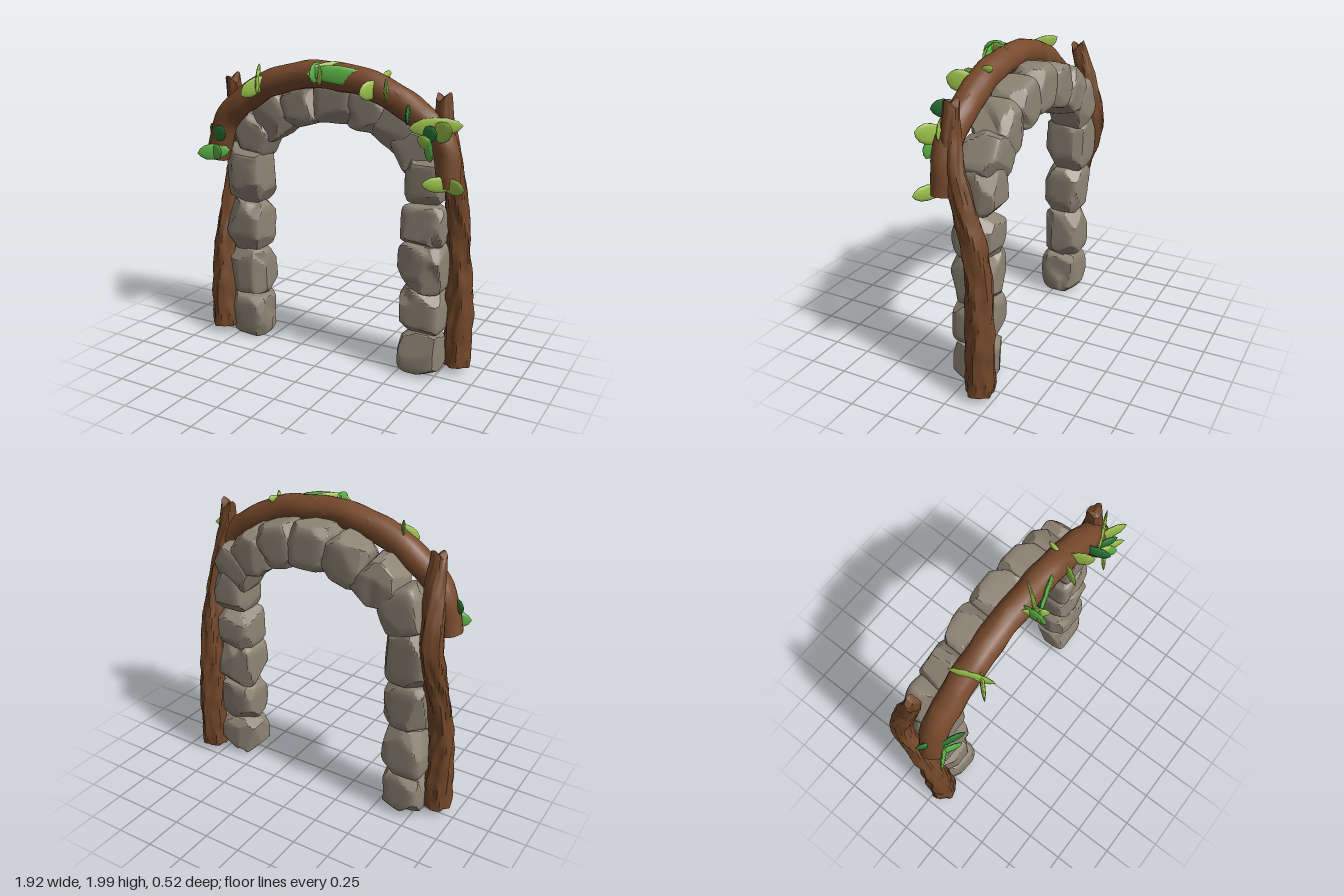
import * as THREE from 'three';
import { toCreasedNormals } from 'three/addons/utils/BufferGeometryUtils.js';

const material = (name, color) => {
  const m = new THREE.MeshStandardMaterial({ color });
  m.name = name;
  return m;
};

function seeded(seed) {
  let s = seed;
  return () => (s = (s * 16807) % 2147483647) / 2147483647;
}

// Rounded block, chipped by random planes and sloping ledges
function stoneGeometry(w, h, d, rand) {
  const geo = new THREE.BoxGeometry(2, 2, 2, 14, 14, 14);
  const dir = () => new THREE.Vector3(rand() * 2 - 1, rand() * 2 - 1, rand() * 2 - 1).normalize();
  const reach = n => Math.pow([n.x, n.y, n.z].reduce((s, c) => s + Math.abs(c) ** 1.2, 0), 1 / 1.2);
  const cuts = [];
  for (let i = 0; i < 22; i++) {
    const n = dir();
    const ledge = i > 11;
    cuts.push({ n, d: reach(n) * (ledge ? 0.72 + rand() * 0.1 : 0.81 + rand() * 0.12),
      side: ledge ? dir() : null, from: rand() * 0.4 });
  }
  const pos = geo.attributes.position, p = new THREE.Vector3();
  for (let i = 0; i < pos.count; i++) {
    p.fromBufferAttribute(pos, i);
    p.divideScalar(Math.pow(p.x ** 6 + p.y ** 6 + p.z ** 6, 1 / 6));
    for (const c of cuts) {
      const over = p.dot(c.n) - c.d;
      const depth = c.side ? THREE.MathUtils.clamp((p.dot(c.side) - c.from) / 0.3, 0, 1) : 1;
      if (over > 0) p.addScaledVector(c.n, -over * depth);
    }
    pos.setXYZ(i, p.x * w * 0.52, p.y * h * 0.52, p.z * d * 0.52);
  }
  return toCreasedNormals(geo, 0.3);
}

// Closed round log along a path; stations are [x, y, z, radius]
function logGeometry(stations, { steps, sides, ridge, lump, ragged = 0 }) {
  const curve = new THREE.CatmullRomCurve3(stations.map(s => new THREE.Vector3(s[0], s[1], s[2])));
  const geo = new THREE.TubeGeometry(curve, steps, 1, sides);
  const pos = geo.attributes.position, p = new THREE.Vector3();
  const last = stations.length - 1;
  for (let i = 0; i <= steps; i++) {
    const end = i === 0 || i === steps;
    const ring = curve.getPointAt(i / steps);
    const u = Math.min(Math.max(i, 1), steps - 1) / steps;
    const centre = curve.getPointAt(u);
    const k = curve.getUtoTmapping(u) * last, a = Math.min(Math.floor(k), last - 1);
    const radius = THREE.MathUtils.lerp(stations[a][3], stations[a + 1][3], k - a);
    for (let j = 0; j <= sides; j++) {
      const q = (j % sides) / sides * Math.PI * 2;
      const bark = 1 + ridge * (Math.sin(5 * q + 3 * Math.sin(u * 7)) + 0.7 * Math.sin(9 * q - 5 * Math.sin(u * 11)))
        + lump * (Math.sin(u * 41 + q) + Math.sin(u * 67 - 2 * q));
      const id = i * (sides + 1) + j;
      p.fromBufferAttribute(pos, id).sub(ring).multiplyScalar(end ? 0 : radius * bark).add(centre);
      if (i === steps - 1) p.y += ragged * Math.sin(2 * q + 1);
      pos.setXYZ(id, p.x, p.y, p.z);
    }
  }
  return toCreasedNormals(geo, 0.6);
}

export function createModel() {
  const model = new THREE.Group();
  model.name = 'stoneArch';
  const stone = material('stone grey', 0x8e8475);
  const bark = material('bark brown', 0x724729);
  const vineBrown = material('vine brown', 0x774a2c);
  const dark = material('dark leaf green', 0x2a7a36);
  const mid = material('leaf green', 0x5cb546);
  const light = material('light leaf green', 0x9cc24b);

  const add = (parent, name, geo, mat) => {
    const mesh = new THREE.Mesh(geo, mat);
    mesh.name = name;
    parent.add(mesh);
    return mesh;
  };
  const group = name => {
    const g = new THREE.Group();
    g.name = name;
    model.add(g);
    return g;
  };

  const rand = seeded(4711);
  const placeStone = (parent, name, x, y, z, w, h, d, turn) => {
    const mesh = add(parent, name, stoneGeometry(w, h, d, rand), stone);
    mesh.position.set(x, y, z);
    mesh.rotation.set((rand() - 0.5) * 0.08, (rand() - 0.5) * 0.1, turn);
  };

  // Pillars: [centre x, width, bottom y, top y, centre z, depth]
  const pillars = {
    rightPillar: [[-0.665, 0.28, 0.005, 0.305, -0.045, 0.25], [-0.675, 0.28, 0.3, 0.64, -0.05, 0.25],
      [-0.68, 0.28, 0.635, 0.975, -0.055, 0.25], [-0.68, 0.28, 0.975, 1.38, -0.07, 0.27]],
    leftPillar: [[0.642, 0.275, 0.005, 0.285, -0.045, 0.25], [0.635, 0.285, 0.285, 0.58, -0.05, 0.25],
      [0.635, 0.285, 0.565, 0.88, -0.05, 0.25], [0.637, 0.27, 0.865, 1.135, -0.06, 0.25], [0.635, 0.23, 1.145, 1.45, -0.075, 0.26]]
  };
  for (const [name, blocks] of Object.entries(pillars)) {
    const g = group(name);
    for (const [x, w, y0, y1, z, d] of blocks) {
      placeStone(g, 'pillarStone', x, (y0 + y1) / 2, z, w, y1 - y0, d, (rand() - 0.5) * 0.06);
    }
  }

  // Arch stones: [x, y, length along the arch, turn]
  const arch = group('archStones');
  const archBlocks = [[-0.635, 1.45, 0.28, 1.15], [-0.465, 1.59, 0.27, 0.72], [-0.245, 1.685, 0.27, 0.28], [0, 1.725, 0.28, 0],
    [0.235, 1.685, 0.27, -0.26], [0.43, 1.595, 0.26, -0.65], [0.575, 1.47, 0.26, -1.05]];
  for (const [x, y, len, turn] of archBlocks) placeStone(arch, 'archStone', x, y, -0.09, len, 0.28, 0.245, turn);

  // Leaning posts behind the vine
  const post = { steps: 44, sides: 30, ridge: 0.07, lump: 0.03, ragged: 0.025 };
  add(model, 'rightPost', logGeometry([[-0.86, 0.005, 0.03, 0.097], [-0.868, 0.35, 0.025, 0.088], [-0.868, 0.7, -0.015, 0.075],
    [-0.86, 1.0, -0.1, 0.07], [-0.85, 1.25, -0.175, 0.07], [-0.83, 1.5, -0.14, 0.066], [-0.805, 1.7, -0.085, 0.055],
    [-0.8, 1.86, -0.045, 0.042]], post), bark);
  add(model, 'leftPost', logGeometry([[0.835, 0, -0.16, 0.09], [0.837, 0.4, -0.165, 0.088], [0.822, 0.75, -0.155, 0.08],
    [0.818, 1.0, -0.125, 0.074], [0.815, 1.25, -0.06, 0.066], [0.805, 1.45, -0.005, 0.06], [0.775, 1.65, 0.03, 0.055],
    [0.752, 1.86, 0.03, 0.042]], post), bark);

  // Thick vine over the arch
  add(model, 'archVine', logGeometry([[-0.865, 1.25, 0.06, 0.078], [-0.775, 1.55, 0.06, 0.086], [-0.55, 1.75, 0.06, 0.087],
    [-0.26, 1.87, 0.06, 0.088], [0.05, 1.895, 0.06, 0.087], [0.35, 1.84, 0.06, 0.088], [0.58, 1.72, 0.06, 0.087],
    [0.765, 1.57, 0.06, 0.084], [0.83, 1.25, 0.065, 0.07]], { steps: 60, sides: 18, ridge: 0.015, lump: 0.028 }), vineBrown);

  // Leaves: pointed blades standing on edge, [material, start, end, width]
  const leaves = group('leaves');
  const profile = [[0, -1], [0.5, -0.82], [0.88, -0.42], [1, 0.05], [0.88, 0.5], [0.5, 0.82], [0, 1]].map(p => new THREE.Vector2(...p));
  const blade = new THREE.LatheGeometry(profile, 10);
  const blades = [
    [mid, [-0.74, 1.35, 0.09], [-0.93, 1.33, 0.2], 0.115],
    [dark, [-0.85, 1.46, 0.12], [-0.69, 1.49, 0.2], 0.11],
    [dark, [-0.84, 1.46, 0.1], [-0.94, 1.48, 0.03], 0.09],
    [mid, [-0.87, 1.33, 0.12], [-0.73, 1.36, 0.2], 0.11],
    [light, [-0.55, 1.92, -0.01], [-0.43, 1.78, 0.22], 0.12],
    [light, [-0.42, 1.86, 0.11], [-0.54, 1.75, 0.23], 0.11],
    [mid, [-0.03, 1.94, 0.08], [-0.02, 1.91, 0.26], 0.13],
    [mid, [-0.05, 1.93, 0.21], [0.28, 1.9, 0.09], 0.12],
    [light, [0.12, 1.95, 0], [-0.05, 1.92, 0.24], 0.11],
    [light, [-0.07, 1.95, 0.1], [0.05, 1.88, 0.23], 0.12],
    [light, [0.37, 1.86, 0.08], [0.3, 1.82, 0.23], 0.12],
    [light, [0.4, 1.82, 0.08], [0.48, 1.87, 0.23], 0.14],
    [light, [0.385, 1.93, -0.03], [0.37, 1.9, 0.06], 0.05],
    [dark, [0.56, 1.73, 0.09], [0.62, 1.71, 0.26], 0.115],
    [light, [0.89, 1.66, 0.05], [0.6, 1.64, 0.18], 0.12],
    [light, [0.71, 1.6, 0.1], [0.88, 1.66, 0.2], 0.13],
    [dark, [0.66, 1.6, 0.13], [0.79, 1.63, 0.2], 0.1],
    [mid, [0.7, 1.6, 0.16], [0.76, 1.46, 0.21], 0.1],
    [light, [0.64, 1.58, 0.14], [0.76, 1.55, 0.2], 0.08],
    [light, [0.78, 1.31, 0.08], [0.96, 1.31, 0.18], 0.1],
    [light, [0.87, 1.31, 0.08], [0.7, 1.32, 0.2], 0.1]
  ];
  for (const [mat, from, to, width] of blades) {
    const a = new THREE.Vector3(...from), b = new THREE.Vector3(...to);
    const along = b.clone().sub(a), half = along.length() / 2;
    along.normalize();
    const side = new THREE.Vector3().crossVectors(new THREE.Vector3(0, 1, 0), along).normalize();
    const up = new THREE.Vector3().crossVectors(along, side);
    const mesh = add(leaves, 'leaf', blade, mat);
    mesh.quaternion.setFromRotationMatrix(new THREE.Matrix4().makeBasis(up, along, side));
    mesh.position.copy(a).add(b).multiplyScalar(0.5);
    mesh.scale.set(width / 2, half, 0.014);
  }
  return model;
}
